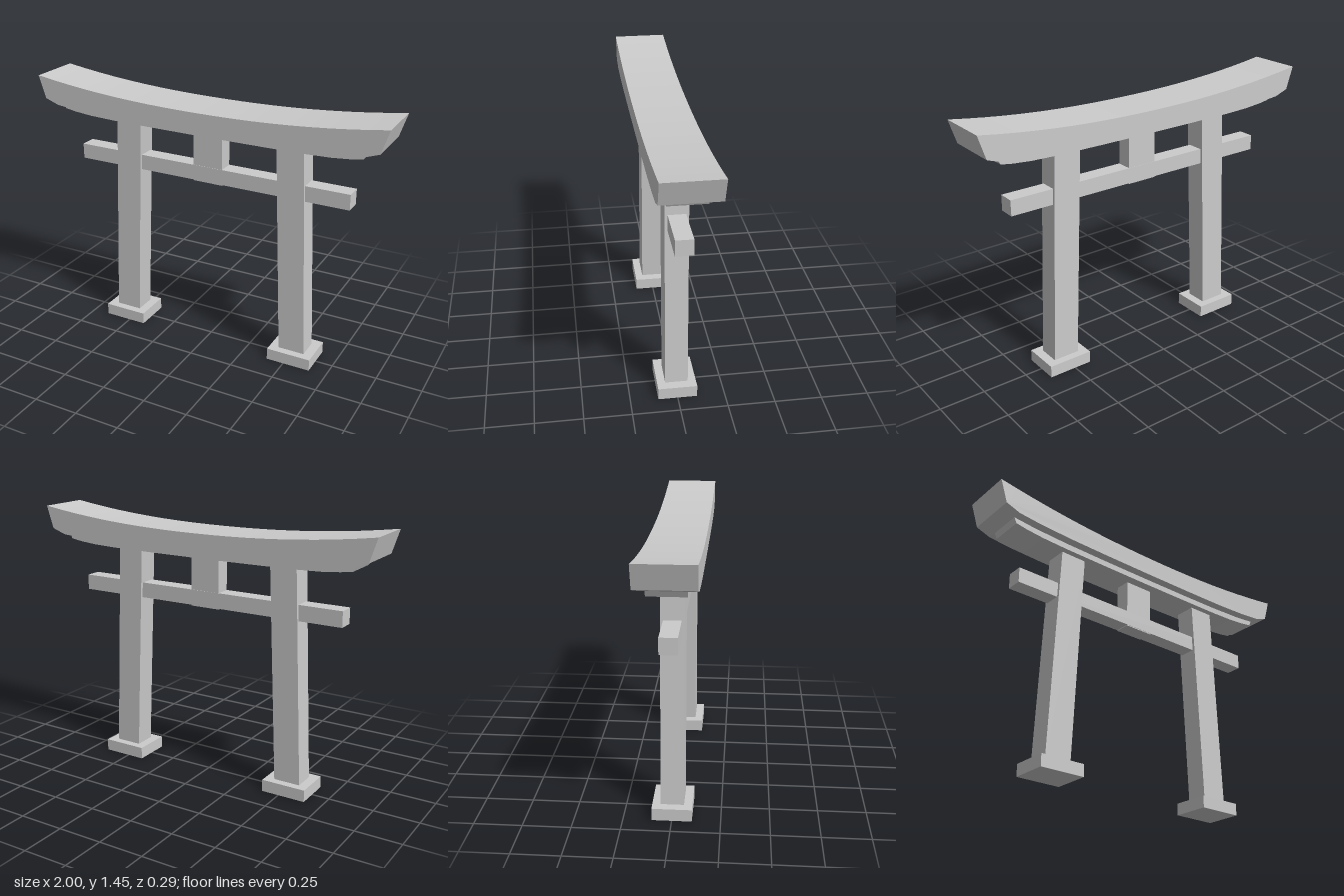
import * as THREE from 'three';

const material = new THREE.MeshStandardMaterial({ color: 0xcccccc, flatShading: true });

export function createModel() {
  const gate = new THREE.Group();
  gate.name = 'gate';

  const add = (name, geometry, x = 0, y = 0) => {
    const mesh = new THREE.Mesh(geometry, material);
    mesh.name = name;
    mesh.position.set(x, y, 0);
    gate.add(mesh);
    return mesh;
  };
  const box = (name, w, y0, y1, d, x = 0) =>
    add(name, new THREE.BoxGeometry(w, y1 - y0, d), x, (y0 + y1) / 2);

  // Front outline extruded evenly about z = 0
  const slab = (name, points, depth) => {
    const shape = new THREE.Shape(points.map(([x, y]) => new THREE.Vector2(x, y)));
    const geometry = new THREE.ExtrudeGeometry(shape, { depth, bevelEnabled: false });
    geometry.translate(0, 0, -depth / 2);
    return add(name, geometry);
  };

  // Half profile from the middle outwards, mirrored to the full width
  const mirrored = (half) => [
    ...half.slice(1).reverse().map(([x, y]) => [-x, y]),
    ...half,
  ];

  // Upswept upper edge of a lintel
  const sweep = (halfWidth, middle, rise) => {
    const points = [];
    for (let i = 0; i <= 10; i++) {
      const t = i / 10;
      points.push([halfWidth * t, middle + rise * Math.pow(t, 2.2)]);
    }
    return mirrored(points).reverse();
  };

  // Curved top lintel with slanted ends
  const topUnderside = mirrored([
    [0, 1.268], [0.3, 1.269], [0.55, 1.272], [0.75, 1.28], [0.88, 1.292], [0.96, 1.32],
  ]);
  slab('topLintel', [...topUnderside, ...sweep(1, 1.375, 0.07)], 0.29);

  // Narrower lintel beneath it, its top tucked into the top lintel
  const lowerUnderside = mirrored([
    [0, 1.235], [0.3, 1.236], [0.55, 1.238], [0.7, 1.243], [0.8, 1.252], [0.865, 1.262],
  ]);
  slab('lowerLintel', [...lowerUnderside, ...sweep(0.88, 1.272, 0.02)], 0.19);

  // Tie beam and central strut
  box('tieBeam', 1.6, 0.963, 1.048, 0.09);
  box('centreStrut', 0.17, 0.958, 1.25, 0.086);

  // Inward-leaning pillars on square plinths
  for (const side of [1, -1]) {
    const name = side > 0 ? 'left' : 'right';
    const outline = [[0.453, 0.06], [0.602, 0.06], [0.549, 1.245], [0.4, 1.245]];
    const points = outline.map(([x, y]) => [x * side, y]);
    slab(name + 'Pillar', side > 0 ? points : points.reverse(), 0.12);
    box(name + 'Plinth', 0.25, 0, 0.066, 0.206, 0.527 * side);
  }

  return gate;
}
